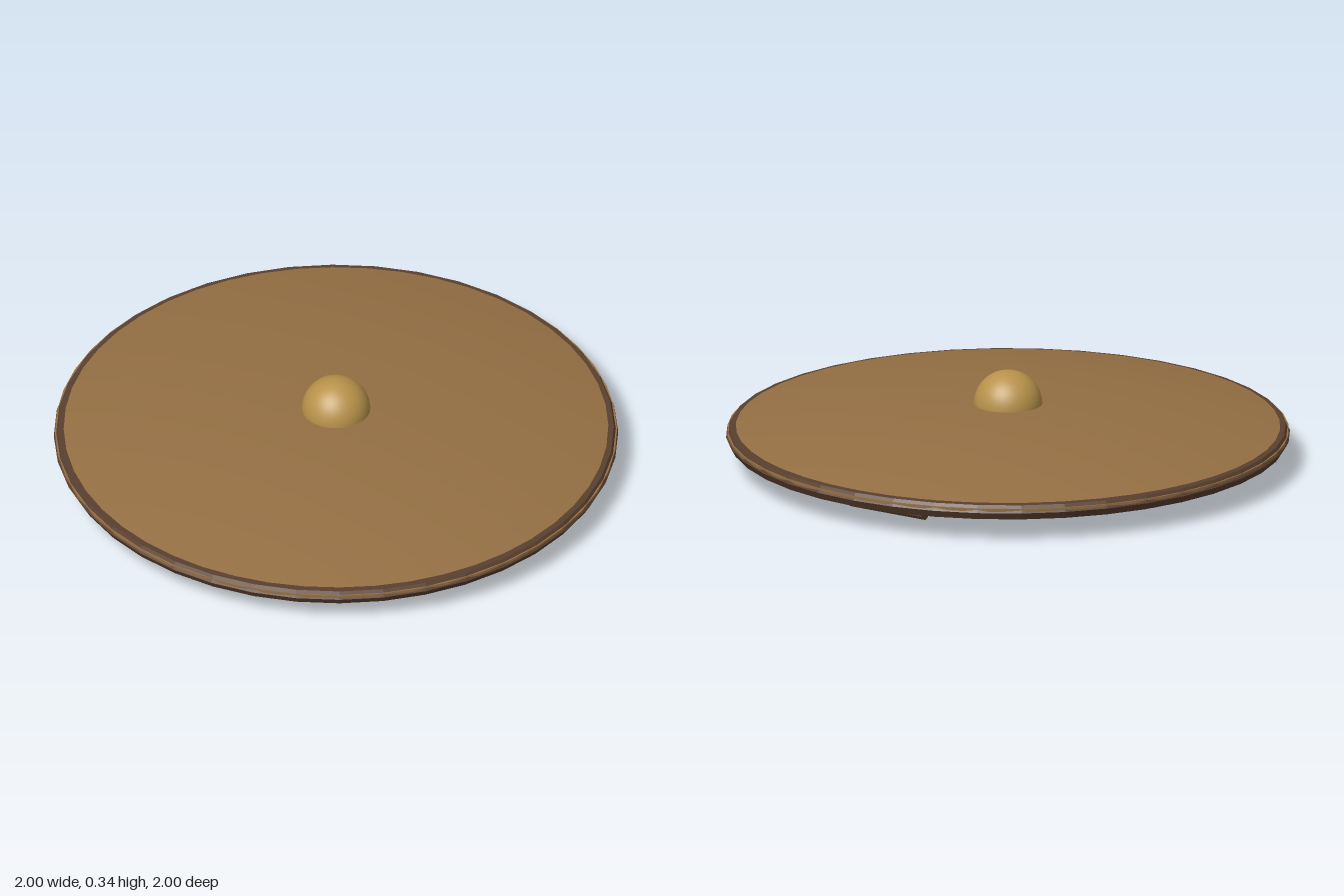
import * as THREE from 'three';

const mat = (name, color) => {
  const m = new THREE.MeshStandardMaterial({ color });
  m.name = name;
  return m;
};

export function createModel() {
  const wood = mat('wood', 0x946f43);
  const leather = mat('darkLeather', 0x5a4030);
  const brass = mat('brass', 0xb8924a);
  leather.flatShading = true;

  const model = new THREE.Group();
  model.name = 'roundShield';
  const add = (name, geometry, material, x = 0, y = 0, z = 0) => {
    const mesh = new THREE.Mesh(geometry, material);
    mesh.name = name;
    mesh.position.set(x, y, z);
    model.add(mesh);
    return mesh;
  };

  // Shallow domed face, running from the edge up to the crown
  const profile = [];
  for (let i = 0; i <= 10; i++) {
    const r = 0.965 * (1 - i / 10);
    profile.push(new THREE.Vector2(r, 0.225 - 0.092 * r * r));
  }
  add('face', new THREE.LatheGeometry(profile, 48), wood);

  // Thin board whose edge shows through the rim
  add('boardEdge', new THREE.CylinderGeometry(0.996, 0.996, 0.01, 48), wood, 0, 0.12);

  // Six-sided rim and the flat backing
  add('rim', new THREE.TorusGeometry(0.97, 0.03, 6, 40).rotateX(Math.PI / 2), leather, 0, 0.11);
  add('backing', new THREE.CylinderGeometry(0.965, 0.965, 0.02, 40), leather, 0, 0.094);

  // Central boss
  add('boss', new THREE.SphereGeometry(0.122, 32, 12, 0, Math.PI * 2, 0, Math.PI / 2), brass, 0, 0.221);

  // Grip bar held by two blocks
  add('grip', new THREE.BoxGeometry(0.68, 0.055, 0.12), leather, 0, 0.0275);
  for (const side of [-1, 1]) {
    add('gripBlock', new THREE.BoxGeometry(0.085, 0.08, 0.14), wood, side * 0.3475, 0.05);
  }

  // Hand rod near the left edge
  add('handRod', new THREE.CylinderGeometry(0.023, 0.023, 0.31, 10).rotateX(Math.PI / 2), leather, 0.77, 0.03);

  return model;
}
